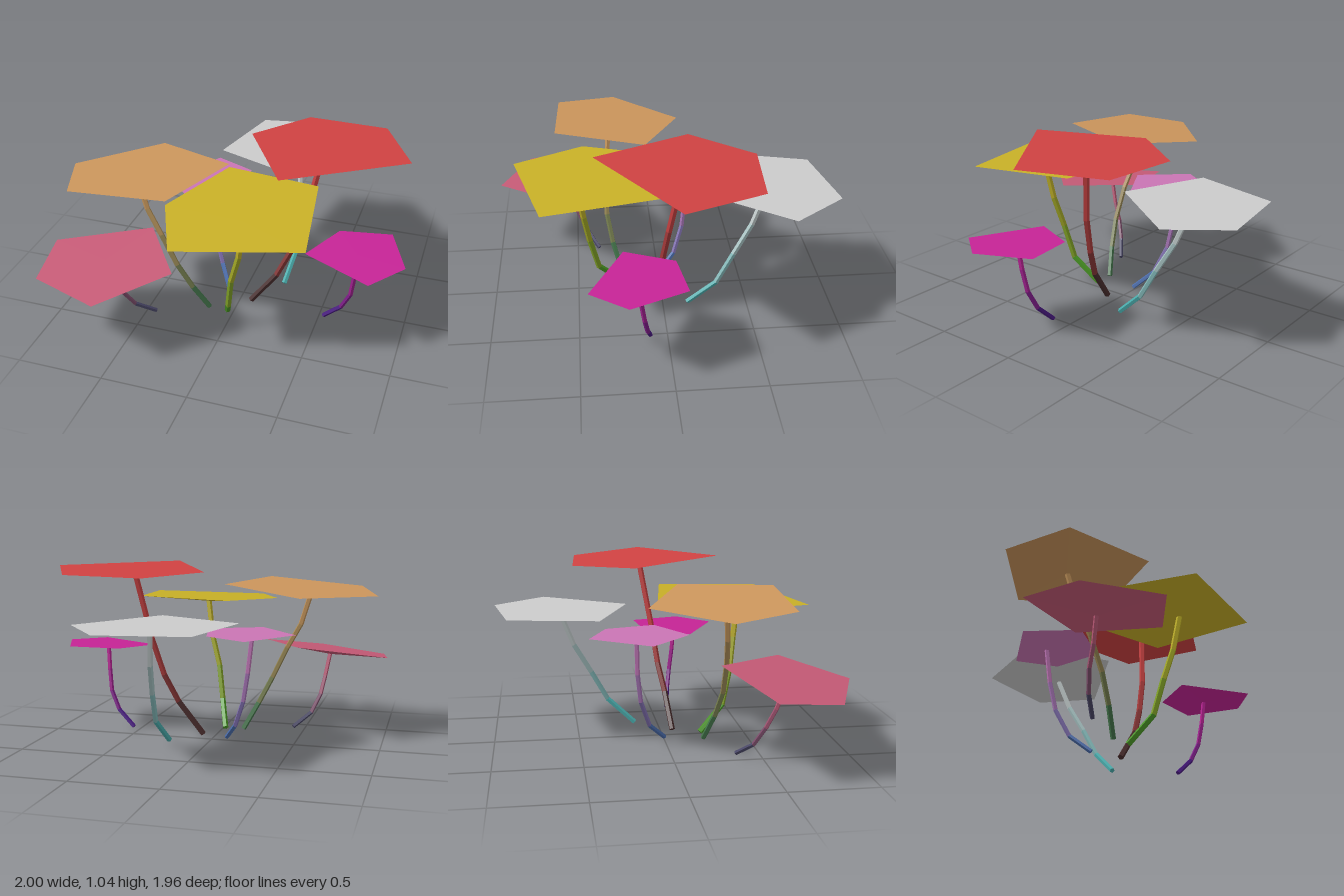
import * as THREE from 'three';

const SIDES = 5;
const UP = new THREE.Vector3(0, 1, 0);
const material = (color) => new THREE.MeshStandardMaterial({ color, flatShading: true });

// Flat polygonal cap with a shallow cone underneath.
// centre: [x, y, z]; tilt: rise of the top plane per unit of x and z; outline: [x, z] corners.
function makeCap(centre, tilt, depth, outline, color) {
  const [cx, cy, cz] = centre;
  const rim = outline.map(([x, z]) => [x, cy + (x - cx) * tilt[0] + (z - cz) * tilt[1], z]);
  const apex = [cx, cy - depth, cz];
  const pos = [];
  rim.forEach((a, i) => {
    const b = rim[(i + 1) % rim.length];
    pos.push(...centre, ...b, ...a); // top
    pos.push(...apex, ...a, ...b); // underside
  });
  const geo = new THREE.BufferGeometry();
  geo.setAttribute('position', new THREE.Float32BufferAttribute(pos, 3));
  geo.computeVertexNormals();
  const mesh = new THREE.Mesh(geo, material(color));
  mesh.name = 'cap';
  return mesh;
}

// Bent stem: a chain of prisms sharing mitred rings, shading from base colour to top colour.
function makeStem(path, radius, baseColor, topColor) {
  const stem = new THREE.Group();
  stem.name = 'stem';
  const pts = path.map((p) => new THREE.Vector3(...p));
  const last = pts.length - 1;
  const turns = pts.map((p, i) => {
    const dir = pts[Math.min(i + 1, last)].clone().sub(pts[Math.max(i - 1, 0)]).normalize();
    return new THREE.Quaternion().setFromUnitVectors(UP, dir);
  });
  const v = new THREE.Vector3();
  for (let i = 0; i < last; i++) {
    const geo = new THREE.CylinderGeometry(radius, radius, 1, SIDES, 1, i > 0);
    const pos = geo.attributes.position;
    for (let k = 0; k < pos.count; k++) {
      const ring = pos.getY(k) > 0 ? i + 1 : i;
      v.set(pos.getX(k), 0, pos.getZ(k)).applyQuaternion(turns[ring]).add(pts[ring]);
      pos.setXYZ(k, v.x, v.y, v.z);
    }
    geo.computeVertexNormals();
    const color = new THREE.Color(baseColor).lerp(new THREE.Color(topColor), (i + 0.4) / last);
    const mesh = new THREE.Mesh(geo, material(color));
    mesh.name = 'stemSegment';
    stem.add(mesh);
  }
  return stem;
}

function makeMushroom(name, { color, base, centre, tilt, depth = 0.035, outline, path, radius = 0.016 }) {
  const group = new THREE.Group();
  group.name = name;
  const top = [centre[0], centre[1] - 0.015, centre[2]];
  group.add(makeCap(centre, tilt, depth, outline, color));
  group.add(makeStem([...path, top], radius, base, color));
  return group;
}

export function createModel() {
  const model = new THREE.Group();
  model.name = 'mushroomCluster';
  const add = (name, spec) => model.add(makeMushroom(name, spec));

  add('redMushroom', {
    color: 0xd04242, base: 0x0c2a2a, centre: [0.445, 1.025, -0.09], tilt: [0.012, 0.045], depth: 0.042,
    outline: [[0.26, -0.51], [0.73, -0.48], [0.94, -0.04], [0.31, 0.385], [0, -0.16]],
    path: [[0.07, 0.01, 0.07], [0.22, 0.21, 0.045], [0.3, 0.38, 0.01], [0.365, 0.6, -0.02]],
    radius: 0.018,
  });
  add('greyMushroom', {
    color: 0xcccccc, base: 0x18a8a8, centre: [0.18, 0.762, -0.6], tilt: [0.006, 0.013],
    outline: [[-0.137, -0.9], [0.36, -0.985], [0.596, -0.685], [0.24, -0.19], [-0.26, -0.385]],
    path: [[0.22, 0.02, -0.145], [0.25, 0.17, -0.31], [0.235, 0.35, -0.41], [0.21, 0.53, -0.515]],
  });
  add('yellowMushroom', {
    color: 0xc8b027, base: 0x1c9424, centre: [0.15, 0.825, 0.485], tilt: [0.02, -0.045], depth: 0.042,
    outline: [[-0.1, -0.04], [0.45, 0.04], [0.54, 0.675], [-0.135, 0.845], [-0.31, 0.44]],
    path: [[-0.03, 0.02, 0.225], [0.025, 0.17, 0.37], [0.06, 0.38, 0.42], [0.115, 0.57, 0.45]],
    radius: 0.018,
  });
  add('brownMushroom', {
    color: 0xcc965c, base: 0x147048, centre: [-0.55, 0.9, 0.27], tilt: [0.08, 0.05],
    outline: [[-0.545, -0.15], [-0.06, 0.08], [-0.24, 0.6], [-0.82, 0.585], [-0.95, 0.23]],
    path: [[-0.145, 0.02, 0.225], [-0.23, 0.18, 0.275], [-0.31, 0.34, 0.305], [-0.4, 0.53, 0.305], [-0.485, 0.68, 0.29]],
  });
  add('roseMushroom', {
    color: 0xc55a76, base: 0x1c4464, centre: [-0.63, 0.488, 0.587], tilt: [0.1, -0.105],
    outline: [[-1, 0.45], [-0.47, 0.26], [-0.2, 0.65], [-0.53, 0.97], [-0.95, 0.8]],
    path: [[-0.435, 0.02, 0.36], [-0.535, 0.1, 0.435], [-0.585, 0.21, 0.49], [-0.605, 0.32, 0.54]],
    radius: 0.013,
  });
  add('magentaMushroom', {
    color: 0xc62496, base: 0x201a80, centre: [0.72, 0.532, 0.175], tilt: [0.02, -0.03], depth: 0.022,
    outline: [[0.57, -0.04], [0.87, -0.08], [0.995, 0.235], [0.83, 0.44], [0.435, 0.24]],
    path: [[0.53, 0.02, 0.1], [0.635, 0.12, 0.12], [0.69, 0.235, 0.14], [0.708, 0.37, 0.16]],
    radius: 0.014,
  });
  add('mauveMushroom', {
    color: 0xca75b4, base: 0x1c6cac, centre: [-0.285, 0.674, -0.185], tilt: [0.02, 0.01], depth: 0.022,
    outline: [[-0.3, -0.45], [-0.06, -0.34], [0, -0.05], [-0.29, 0.115], [-0.525, -0.12]],
    path: [[-0.095, 0.02, 0], [-0.17, 0.12, -0.1], [-0.23, 0.28, -0.157], [-0.26, 0.45, -0.178]],
    radius: 0.014,
  });
  return model;
}
